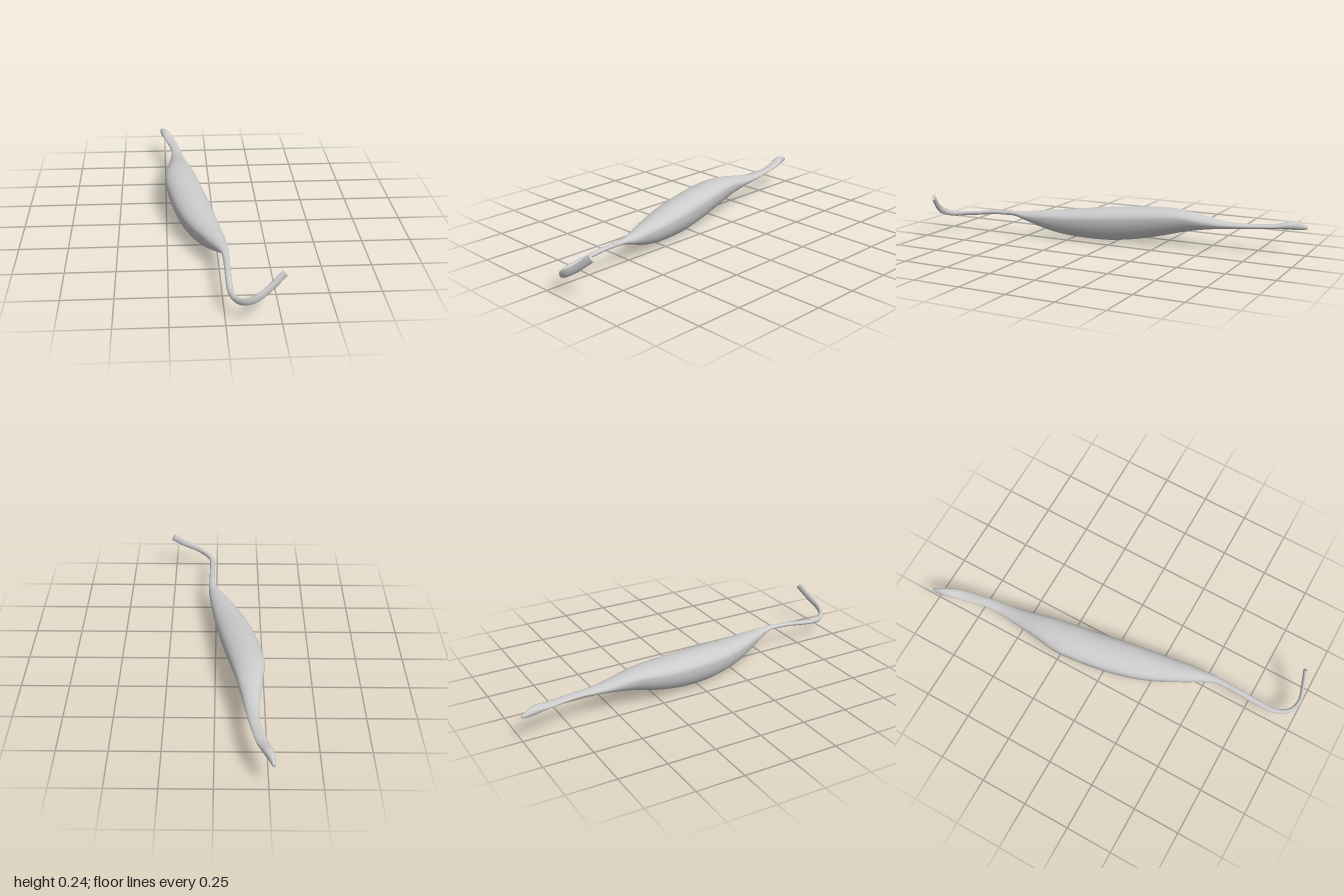
import * as THREE from 'three';

const material = new THREE.MeshStandardMaterial({ color: 0xcccccc, side: THREE.DoubleSide });

// Skins a list of closed rings (counter-clockwise seen from the last ring), with fan caps.
function loft(name, rings) {
  const n = rings[0].length, last = rings.length - 1;
  const points = rings.flat();
  const index = [];
  for (let i = 0; i < last; i++) {
    for (let j = 0; j < n; j++) {
      const a = i * n + j, b = i * n + (j + 1) % n;
      index.push(a, b, a + n, b, b + n, a + n);
    }
  }
  for (const [row, flip] of [[0, true], [last, false]]) {
    const centre = new THREE.Vector3();
    rings[row].forEach(p => centre.addScaledVector(p, 1 / n));
    const base = points.length;
    points.push(centre, ...rings[row].map(p => p.clone()));
    for (let j = 0; j < n; j++) {
      const a = base + 1 + j, b = base + 1 + (j + 1) % n;
      index.push(base, flip ? b : a, flip ? a : b);
    }
  }
  const geometry = new THREE.BufferGeometry().setFromPoints(points);
  geometry.setIndex(index);
  geometry.computeVertexNormals();
  const mesh = new THREE.Mesh(geometry, material);
  mesh.name = name;
  return mesh;
}

// Muscle belly and back tendon: z, x min, x max, y min, y max
const SECTIONS = [
  [-1.00, -0.275, -0.262, 0.135, 0.150],
  [-0.96, -0.277, -0.243, 0.130, 0.168],
  [-0.91, -0.270, -0.218, 0.131, 0.172],
  [-0.84, -0.250, -0.192, 0.132, 0.156],
  [-0.70, -0.216, -0.163, 0.124, 0.150],
  [-0.60, -0.215, -0.147, 0.115, 0.152],
  [-0.50, -0.225, -0.130, 0.103, 0.168],
  [-0.38, -0.238, -0.107, 0.080, 0.190],
  [-0.25, -0.254, -0.080, 0.046, 0.197],
  [-0.10, -0.237, -0.050, 0.015, 0.191],
  [0.05, -0.207, -0.020, 0.001, 0.181],
  [0.18, -0.170, 0.002, 0.006, 0.168],
  [0.30, -0.120, 0.020, 0.022, 0.156],
  [0.40, -0.070, 0.034, 0.050, 0.149],
  [0.50, -0.018, 0.043, 0.090, 0.140],
  [0.56, 0.005, 0.043, 0.110, 0.137],
  [0.62, 0.011, 0.041, 0.112, 0.134],
];

function bellyRings(steps, sides) {
  const xs = new THREE.CatmullRomCurve3(SECTIONS.map(s => new THREE.Vector3(s[1], s[2], s[0])), false, 'catmullrom');
  const ys = new THREE.CatmullRomCurve3(SECTIONS.map(s => new THREE.Vector3(s[3], s[4], s[0])), false, 'catmullrom');
  return Array.from({ length: steps + 1 }, (_, i) => {
    const x = xs.getPoint(i / steps), y = ys.getPoint(i / steps);
    const cx = (x.x + x.y) / 2, rx = (x.y - x.x) / 2;
    const height = y.y - y.x;
    // The widest line sits high on the thick part, giving a flat top over a round bowl
    const split = 0.5 + 0.18 * THREE.MathUtils.smoothstep(height, 0.04, 0.12);
    const mid = y.x + height * split;
    return Array.from({ length: sides }, (_, j) => {
      const a = j / sides * Math.PI * 2, s = Math.sin(a);
      return new THREE.Vector3(cx + rx * Math.cos(a), mid + s * (s > 0 ? y.y - mid : mid - y.x), x.z);
    });
  });
}

// Front tendon: a slim strap that curls sideways and up into a hook
function tendonRings(steps, sides) {
  const path = new THREE.CatmullRomCurve3([
    [0.026, 0.123, 0.58], [0.026, 0.118, 0.70], [0.026, 0.104, 0.80], [0.030, 0.096, 0.88],
    [0.051, 0.093, 0.938], [0.088, 0.104, 0.974], [0.135, 0.127, 0.984],
    [0.195, 0.166, 0.965], [0.262, 0.223, 0.936],
  ].map(p => new THREE.Vector3(...p)));
  return Array.from({ length: steps + 1 }, (_, i) => {
    const t = i / steps;
    const centre = path.getPointAt(t), tangent = path.getTangentAt(t);
    const side = new THREE.Vector3(0, 1, 0).cross(tangent).normalize();
    const up = tangent.clone().cross(side);
    const blend = THREE.MathUtils.smoothstep(t, 0.35, 0.8);
    const ru = THREE.MathUtils.lerp(0.011, 0.019, blend);
    const rs = THREE.MathUtils.lerp(0.015, 0.010, blend);
    return Array.from({ length: sides }, (_, j) => {
      const a = j / sides * Math.PI * 2;
      return centre.clone().addScaledVector(side, rs * Math.cos(a)).addScaledVector(up, ru * Math.sin(a));
    });
  });
}

export function createModel() {
  const group = new THREE.Group();
  group.name = 'muscle';
  group.add(loft('muscleBelly', bellyRings(64, 28)));
  group.add(loft('hookedTendon', tendonRings(40, 12)));
  return group;
}
